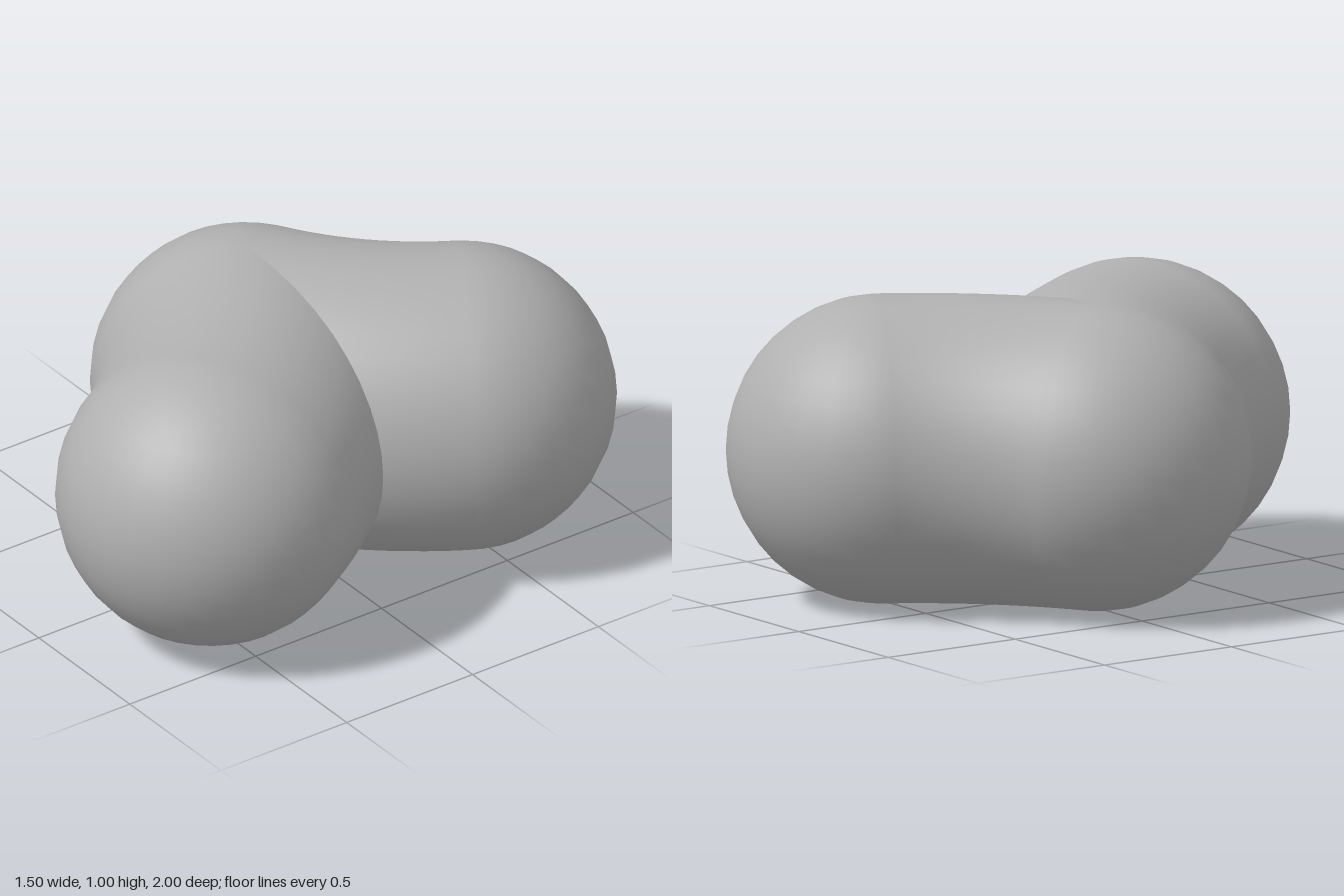
import * as THREE from 'three';

export function createModel() {
  const model = new THREE.Group();
  model.name = 'bentTriple';
  const grey = new THREE.MeshStandardMaterial({ color: 0xb0b0b0 });
  grey.name = 'plain grey';

  const add = (name, geometry) => {
    const mesh = new THREE.Mesh(geometry, grey);
    mesh.name = name;
    model.add(mesh);
  };

  const radius = 0.5;

  // Three equal balls, one at the bend and one at each end
  const balls = { middleBall: [-0.25, 0], frontBall: [0.25, 0.5], backBall: [0.25, -0.5] };
  for (const [name, [x, z]] of Object.entries(balls)) {
    add(name, new THREE.SphereGeometry(radius, 32, 20).translate(x, 0.5, z));
  }

  // Two arms, each a 30 degree arc bowed towards the inside of the bend
  const arc = Math.PI / 6;
  const bendRadius = 1.366;
  for (const [name, side] of [['frontArm', 1], ['backArm', -1]]) {
    const arm = new THREE.TorusGeometry(bendRadius, radius, 40, 12, arc);
    arm.rotateZ(side > 0 ? -2 * arc : arc);
    arm.rotateX(Math.PI / 2);
    arm.translate(-0.933, 0.5, side * 1.183);
    add(name, arm);
  }

  return model;
}
